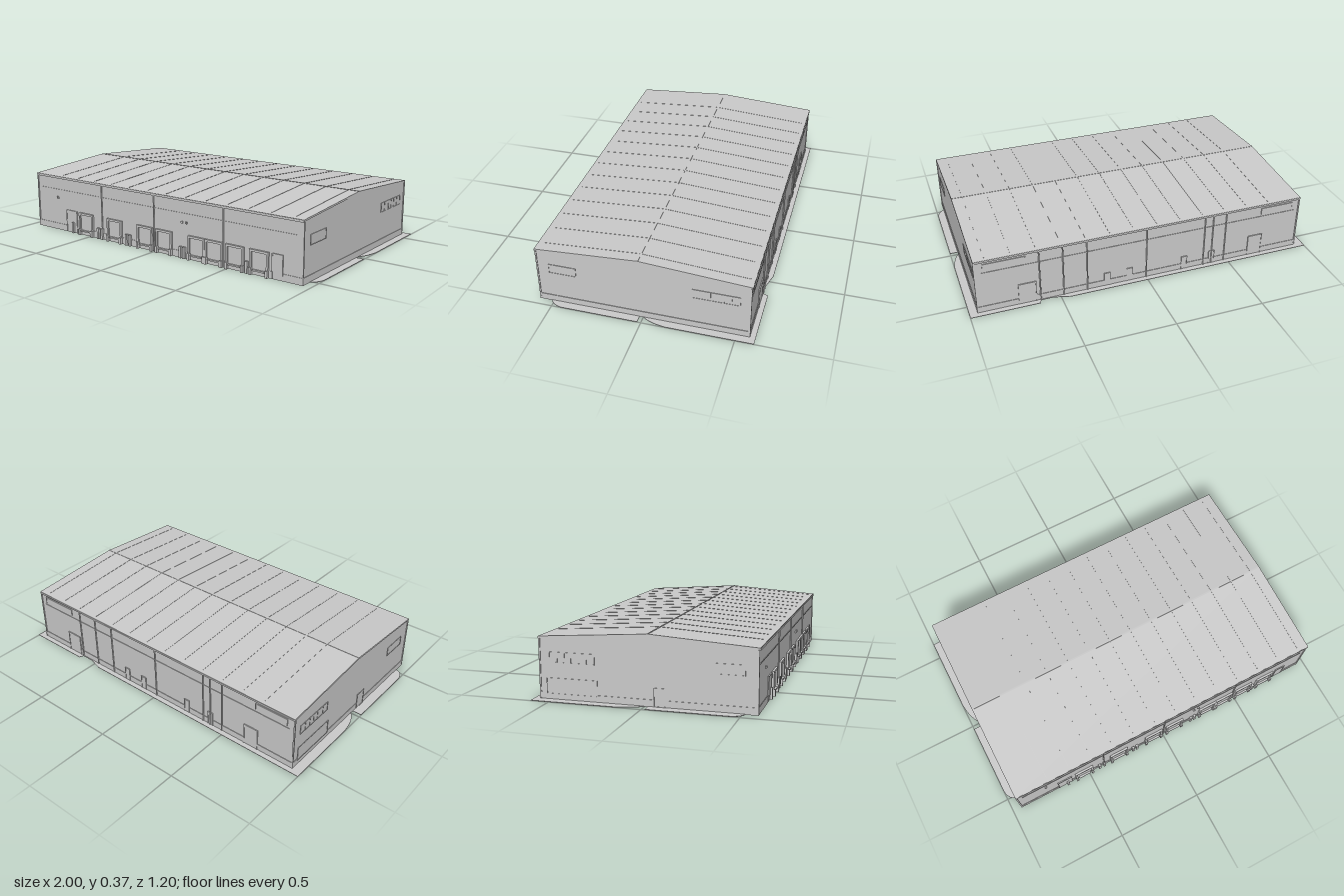
import * as THREE from 'three';

const mat = new THREE.MeshStandardMaterial({ color: 0xcccccc, flatShading: true });
const X0 = -0.943, X1 = 0.953, ZF = 0.578, ZB = -0.567, RIDGE = 0.02;

export function createModel() {
  const root = new THREE.Group();
  root.name = 'warehouse';

  const mesh = (name, geo, parent = root) => {
    const m = new THREE.Mesh(geo, mat);
    m.name = name;
    parent.add(m);
    return m;
  };
  // Box given by its minimum and maximum along each axis
  const box = (name, x0, x1, y0, y1, z0, z1, parent = root) => {
    const g = new THREE.BoxGeometry(x1 - x0, y1 - y0, z1 - z0);
    g.translate((x0 + x1) / 2, (y0 + y1) / 2, (z0 + z1) / 2);
    return mesh(name, g, parent);
  };
  // Cross-section in (z, y), extruded along x
  const alongX = (name, pts, x0, x1, parent = root) => {
    const s = new THREE.Shape(pts.map(([z, y]) => new THREE.Vector2(z, y)));
    const g = new THREE.ExtrudeGeometry(s, { depth: x1 - x0, bevelEnabled: false });
    g.rotateY(-Math.PI / 2).translate(x1, 0, 0);
    return mesh(name, g, parent);
  };
  const group = (name) => {
    const g = new THREE.Group();
    g.name = name;
    root.add(g);
    return g;
  };

  // Thin paved apron with rounded ends and notches beside the ridge
  const apron = new THREE.Shape();
  apron.moveTo(-1, 0.6);
  apron.lineTo(-1, 0.15);
  apron.quadraticCurveTo(-0.99, 0.04, -0.945, 0);
  apron.lineTo(-0.945, -0.02);
  apron.lineTo(-1, -0.02);
  apron.lineTo(-1, -0.45);
  apron.quadraticCurveTo(-0.99, -0.51, -0.945, -0.515);
  apron.lineTo(-0.945, -0.58);
  apron.lineTo(0.955, -0.58);
  apron.lineTo(0.955, -0.515);
  apron.quadraticCurveTo(0.99, -0.5, 1, -0.45);
  apron.lineTo(1, -0.02);
  apron.lineTo(0.955, -0.02);
  apron.lineTo(0.955, 0);
  apron.quadraticCurveTo(0.99, 0.04, 1, 0.13);
  apron.lineTo(1, 0.6);
  apron.lineTo(0.62, 0.6);
  apron.lineTo(0.61, 0.575);
  apron.lineTo(0.54, 0.575);
  apron.lineTo(0.45, 0.6);
  mesh('apron', new THREE.ExtrudeGeometry(apron, { depth: 0.003, bevelEnabled: false, curveSegments: 8 })
    .rotateX(-Math.PI / 2));

  // Gabled hall, plinth and roof
  alongX('walls', [[ZB, 0], [ZF, 0], [ZF, 0.325], [RIDGE, 0.362], [ZB, 0.322]], X0, X1);
  box('plinth', X0 - 0.003, X1 + 0.003, 0, 0.038, ZB - 0.003, ZF + 0.003);
  alongX('roof', [[-0.573, 0.32], [RIDGE, 0.36], [0.585, 0.324], [0.585, 0.333], [RIDGE, 0.371], [-0.573, 0.33]],
    X0 - 0.003, X1 + 0.003);
  box('ridgeCap', X0 - 0.003, X1 + 0.003, 0.368, 0.3725, RIDGE - 0.004, RIDGE + 0.004);

  // Standing seams on both slopes
  const seams = group('roofSeams');
  for (let i = 0; i < 13; i++) {
    const x = -0.745 + i * 0.1365;
    alongX('roofSeam', [[-0.55, 0.331], [RIDGE, 0.37], [0.56, 0.334], [0.56, 0.336], [RIDGE, 0.3725], [-0.55, 0.333]],
      x - 0.0015, x + 0.0015, seams);
  }

  // Gutters, wall rails and corner trims on the long sides
  box('frontGutter', X0, X1, 0.32, 0.331, ZF, ZF + 0.009);
  box('backGutter', X0, X1, 0.318, 0.328, ZB - 0.008, ZB);
  box('frontRail', X0 + 0.03, X1 - 0.03, 0.247, 0.252, ZF, ZF + 0.003);
  box('backRail', X0 + 0.03, X1 - 0.03, 0.247, 0.252, ZB - 0.003, ZB);
  for (const x of [X0, X1]) for (const z of [ZB, ZF])
    box('cornerTrim', x - 0.004, x + 0.004, 0, 0.322, z - 0.004, z + 0.004);

  // Drainpipes
  const pipes = group('drainpipes');
  const pipe = (x, z) => {
    const g = new THREE.CylinderGeometry(0.004, 0.004, 0.32, 8);
    mesh('drainpipe', g.translate(x, 0.162, z), pipes);
  };
  [-0.4, 0, 0.475].forEach((x) => pipe(x, ZF + 0.004));
  [0.61, 0.48, 0.345, 0, -0.35, -0.4, -0.48].forEach((x) => pipe(x, ZB - 0.004));

  // Framed panel on a long wall; dir is the outward z direction
  const zPanel = (name, x0, x1, y0, y1, z, dir, t = 0.005, d = 0.006) => {
    const g = group(name);
    const a = Math.min(z, z + dir * d), b = Math.max(z, z + dir * d);
    box('leftFrame', x1 - t, x1, y0, y1, a, b, g);
    box('rightFrame', x0, x0 + t, y0, y1, a, b, g);
    box('topFrame', x0 + t, x1 - t, y1 - t, y1, a, b, g);
    const c = z + dir * 0.0038;
    box('panel', x0 + t, x1 - t, y0, y1 - t, Math.min(z, c), Math.max(z, c), g);
    return g;
  };

  // Loading docks with shelters, levellers and bumpers
  [-0.53, -0.3, -0.067, 0.073, 0.3, 0.415, 0.55, 0.7].forEach((x) => {
    const w = 0.057;
    const g = zPanel('loadingDock', x - w, x + w, 0.018, 0.135, ZF, 1, 0.012, 0.012);
    box('leveller', x - 0.038, x + 0.038, 0.022, 0.03, ZF, ZF + 0.015, g);
    for (const s of [-1, 1])
      box('bumper', x + s * 0.05 - 0.007, x + s * 0.05 + 0.007, 0, 0.038, ZF, ZF + 0.02, g);
  });
  // Guard posts between the docks
  [-0.64, -0.43, -0.4, -0.205, -0.18, 0.19, 0.215, 0.625].forEach((x) =>
    box('guardPost', x - 0.007, x + 0.007, 0, 0.065, ZF, ZF + 0.015));

  // Doors on the front and back
  zPanel('frontDoor', -0.7, -0.61, 0.003, 0.135, ZF, 1);
  zPanel('frontDoor', 0.775, 0.84, 0.003, 0.135, ZF, 1);
  zPanel('backGate', 0.63, 0.73, 0.003, 0.13, ZB, -1);
  zPanel('backGate', -0.72, -0.63, 0.003, 0.13, ZB, -1);
  [0.23, 0.1, -0.23, -0.4].forEach((x) =>
    zPanel('backDoor', x - 0.018, x + 0.018, 0.003, 0.085, ZB, -1, 0.004));

  // Strip windows high on the back wall
  zPanel('backWindow', 0.68, 0.91, 0.265, 0.305, ZB, -1, 0.004, 0.005);
  zPanel('backWindow', -0.9, -0.7, 0.265, 0.305, ZB, -1, 0.004, 0.005);
  // Small wall lamps under the front rail
  [-0.77, 0.2, 0.23].forEach((x) => box('wallLamp', x - 0.006, x + 0.006, 0.195, 0.207, ZF, ZF + 0.008));

  // Framed opening on a gable wall, with optional mullions
  const xPanel = (name, x, dir, z0, z1, y0, y1, mullions = []) => {
    const g = group(name), t = 0.003;
    const slab = (n, d, a, b, c, e) => box(n, Math.min(x, x + dir * d), Math.max(x, x + dir * d), a, b, c, e, g);
    slab('topFrame', 0.003, y1 - t, y1, z0, z1);
    slab('bottomFrame', 0.003, y0, y0 + t, z0, z1);
    slab('backFrame', 0.003, y0 + t, y1 - t, z0, z0 + t);
    slab('frontFrame', 0.003, y0 + t, y1 - t, z1 - t, z1);
    slab('pane', 0.001, y0 + t, y1 - t, z0 + t, z1 - t);
    mullions.forEach((z) => slab('mullion', 0.003, y0 + t, y1 - t, z - 0.0015, z + 0.0015));
  };
  for (const [x, dir] of [[X0, -1], [X1, 1]]) {
    xPanel('frontGableWindow', x, dir, 0.362, 0.515, 0.19, 0.246);
    xPanel('backGableWindow', x, dir, -0.515, -0.265, 0.195, 0.251, [-0.31, -0.36, -0.395, -0.43, -0.47]);
  }
  xPanel('gableDoor', X0 - 0.003, -1, 0.05, 0.12, 0.003, 0.1);
  xPanel('gableGate', X0 - 0.003, -1, -0.53, -0.25, 0.03, 0.115);

  return root;
}
